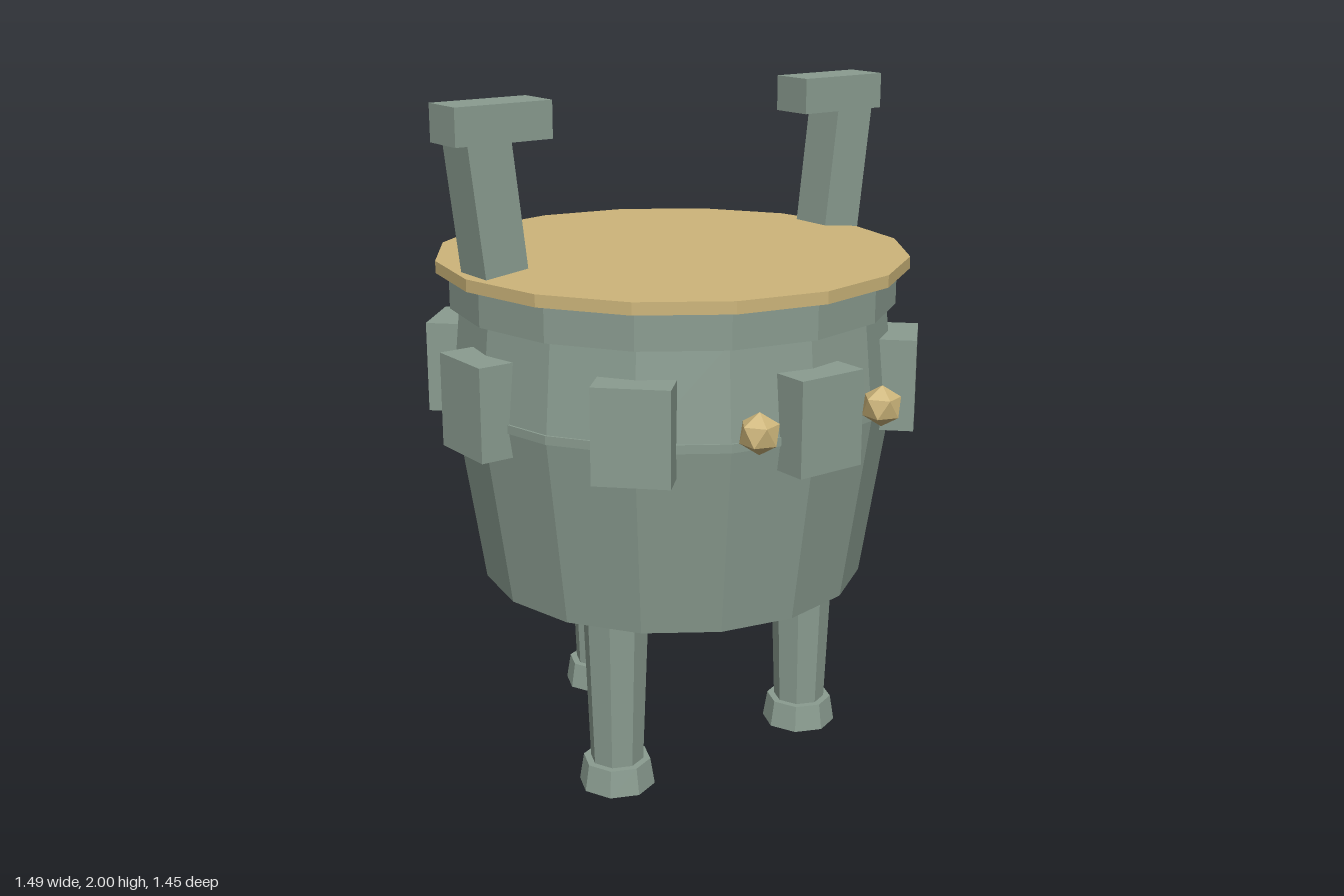
import * as THREE from 'three';

const bronze = new THREE.MeshStandardMaterial({ color: 0x8a9c90, flatShading: true });
const gold = new THREE.MeshStandardMaterial({ color: 0xcdb57a, flatShading: true });

function add(parent, name, geometry, material, x = 0, y = 0, z = 0) {
  const mesh = new THREE.Mesh(geometry, material);
  mesh.name = name;
  mesh.position.set(x, y, z);
  parent.add(mesh);
  return mesh;
}

// Upright faceted drum given by its bottom and top heights
function drum(parent, name, material, y0, y1, rBottom, rTop, sides = 16) {
  const geometry = new THREE.CylinderGeometry(rTop, rBottom, y1 - y0, sides);
  return add(parent, name, geometry, material, 0, (y0 + y1) / 2, 0);
}

export function createModel() {
  const model = new THREE.Group();
  model.name = 'tripodCauldron';
  const body = new THREE.Group();
  body.name = 'vessel';
  body.position.set(-0.003, 0, -0.007);
  model.add(body);

  // Vessel: tapering bowl, waist ring, shoulder, neck and lid
  drum(body, 'bowl', bronze, 0.56, 1.12, 0.573, 0.657);
  drum(body, 'waistRing', bronze, 1.11, 1.135, 0.66, 0.66);
  drum(body, 'shoulder', bronze, 1.12, 1.4, 0.655, 0.628);
  drum(body, 'neck', bronze, 1.39, 1.5, 0.655, 0.655);
  drum(body, 'lid', gold, 1.495, 1.53, 0.692, 0.692);

  // Eight raised blocks around the belly
  for (let i = 0; i < 8; i++) {
    const a = (i * Math.PI) / 4;
    const block = add(body, 'bellyBlock', new THREE.BoxGeometry(0.214, 0.27, 0.13), bronze,
      Math.sin(a) * 0.657, 1.173, Math.cos(a) * 0.657);
    block.rotation.y = a;
  }

  // Three legs: two in front, one behind
  for (let i = 0; i < 3; i++) {
    const a = Math.PI + (i * Math.PI * 2) / 3;
    const leg = new THREE.Group();
    leg.name = 'leg';
    leg.position.set(Math.sin(a) * 0.407, 0, Math.cos(a) * 0.407);
    drum(leg, 'shaft', bronze, 0.06, 0.6, 0.078, 0.098, 8);
    drum(leg, 'foot', bronze, 0, 0.08, 0.113, 0.1, 8);
    body.add(leg);
  }

  // Outward leaning handles with flat caps
  for (const side of [-1, 1]) {
    const handle = new THREE.Group();
    handle.name = side > 0 ? 'leftHandle' : 'rightHandle';
    const post = add(handle, 'post', new THREE.BoxGeometry(0.134, 0.4, 0.134), bronze,
      side * 0.625, 1.742, 0);
    post.rotation.z = -side * 0.12;
    add(handle, 'cap', new THREE.BoxGeometry(0.3, 0.104, 0.134), bronze, side * 0.597, 1.948, 0);
    body.add(handle);
  }

  // Pair of faceted studs on the front, each with a corner pointing up
  const stud = new THREE.IcosahedronGeometry(0.059, 0);
  stud.rotateZ(Math.atan(2 / (1 + Math.sqrt(5))));
  for (const side of [-1, 1]) add(body, 'stud', stud, gold, side * 0.217, 1.176, 0.68);

  return model;
}
